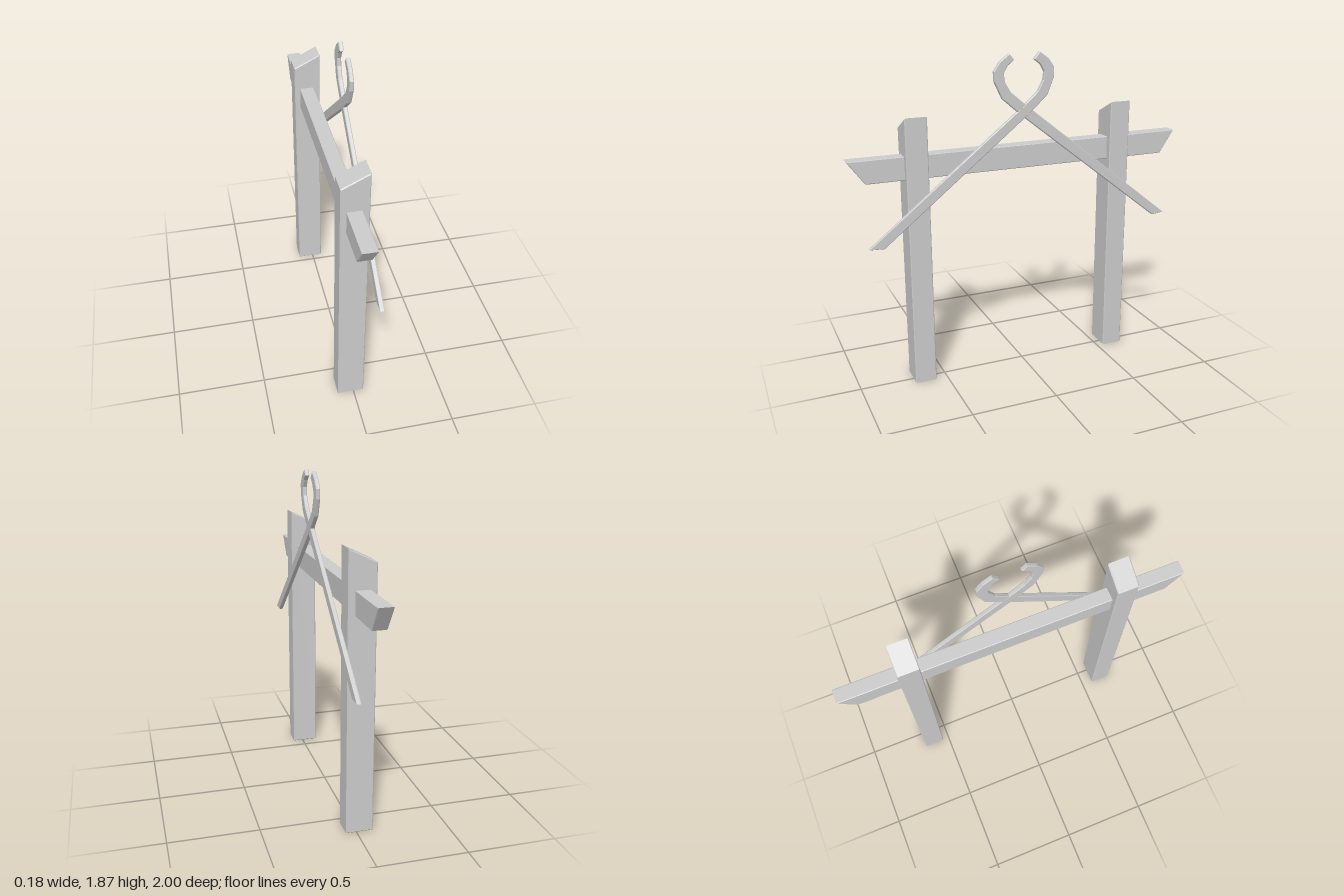
import * as THREE from 'three';

const material = new THREE.MeshStandardMaterial({ color: 0xcccccc });

// Bevelled slab cut from an outline, centred on its own thickness
function slab(points, thickness, bevel) {
  const shape = new THREE.Shape(points.map(([a, b]) => new THREE.Vector2(a, b)));
  const geometry = new THREE.ExtrudeGeometry(shape, {
    depth: thickness - 2 * bevel, bevelEnabled: true, bevelSegments: 1,
    bevelSize: bevel, bevelThickness: bevel, bevelOffset: -bevel,
  });
  return geometry.translate(0, 0, bevel - thickness / 2);
}

function add(group, name, geometry, x, z) {
  const mesh = new THREE.Mesh(geometry, material);
  mesh.name = name;
  mesh.position.set(x, 0, z);
  group.add(mesh);
}

export function createModel() {
  const group = new THREE.Group();
  group.name = 'crossedCaneGate';

  // Posts with slanted tops, outline in x and y
  const post = [[-0.093, 0], [0.059, 0], [0.059, 1.557], [-0.093, 1.483]];
  add(group, 'frontPost', slab(post, 0.124, 0.005), 0, 0.628);
  add(group, 'backPost', slab(post, 0.124, 0.005), 0, -0.599);

  // Crossbeam with undercut ends, outline in z and y
  const beam = [[-0.91, 1.212], [0.905, 1.212], [1, 1.342], [-1, 1.347]];
  add(group, 'crossbeam', slab(beam, 0.082, 0.004).rotateY(-Math.PI / 2), -0.02, 0);

  // Crossed canes: straight shaft ending in a hook, outline in z and y
  const caneRisingBack = [
    [0.92, 0.867], [0.836, 0.862], [-0.005, 1.53], [-0.118, 1.632], [-0.157, 1.73],
    [-0.157, 1.785], [-0.123, 1.832], [-0.07, 1.87], [-0.035, 1.83], [-0.075, 1.8],
    [-0.097, 1.76], [-0.092, 1.715], [-0.06, 1.655], [0.027, 1.577],
  ];
  const caneRisingFront = [
    [-0.914, 0.851], [-0.835, 0.844], [0.04, 1.53], [0.15, 1.625], [0.195, 1.72],
    [0.198, 1.775], [0.163, 1.826], [0.108, 1.866], [0.08, 1.832], [0.118, 1.802],
    [0.14, 1.762], [0.134, 1.715], [0.1, 1.66], [0.005, 1.58],
  ];
  add(group, 'caneRisingBack', slab(caneRisingBack, 0.024, 0.004).rotateY(-Math.PI / 2), 0.077, 0);
  add(group, 'caneRisingFront', slab(caneRisingFront, 0.024, 0.004).rotateY(-Math.PI / 2), 0.076, 0);

  return group;
}
